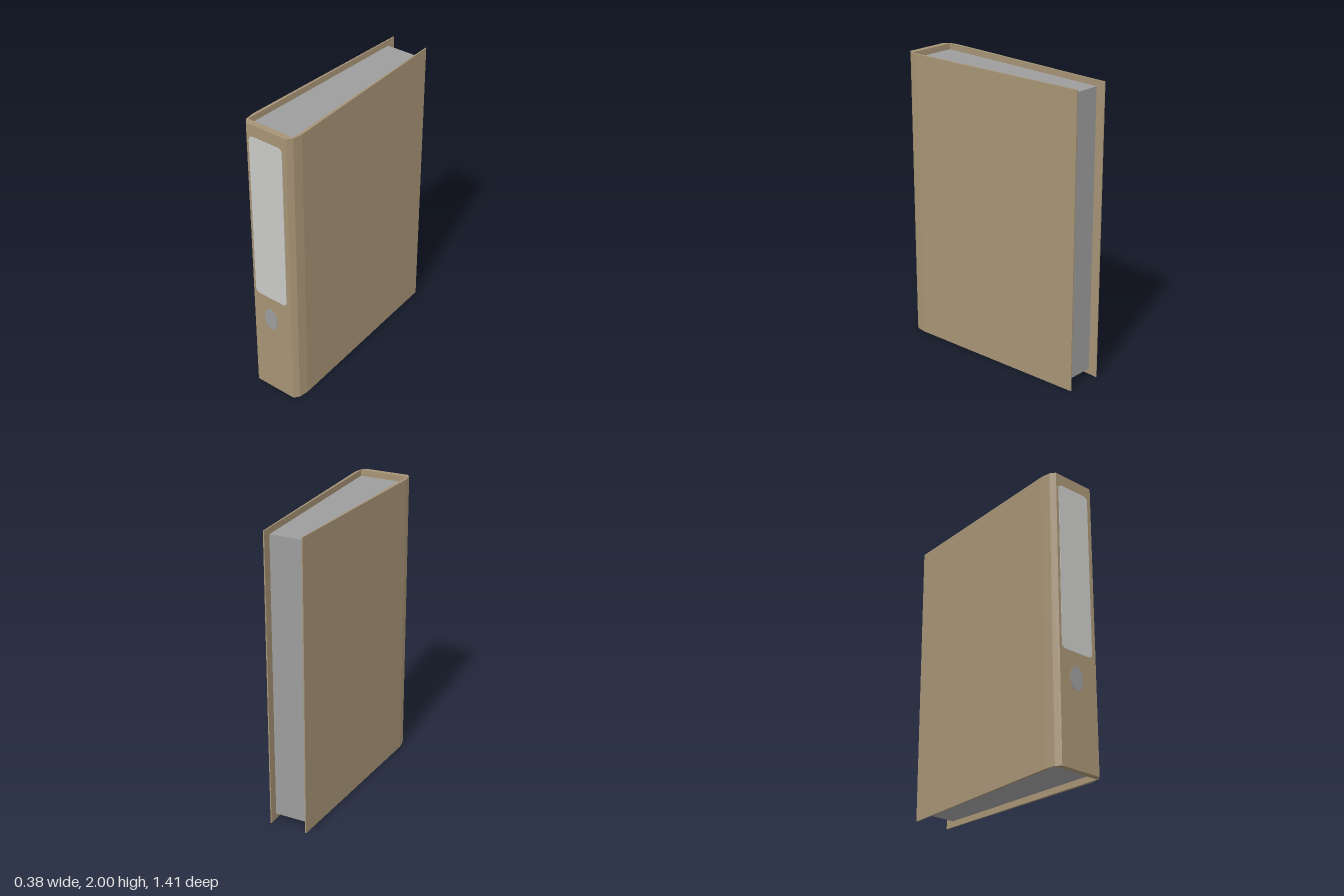
import * as THREE from 'three';

const HEIGHT = 2;

// Upright prism from a plan outline of [x, z] points
function prism(points, y0, y1, material, name) {
  const shape = new THREE.Shape(points.map(([x, z]) => new THREE.Vector2(x, -z)));
  const geometry = new THREE.ExtrudeGeometry(shape, { depth: y1 - y0, bevelEnabled: false });
  geometry.rotateX(-Math.PI / 2);
  geometry.translate(0, y0, 0);
  const mesh = new THREE.Mesh(geometry, material);
  mesh.name = name;
  return mesh;
}

// Thin plate lying on the front of the spine
function plate(shape, z, material, name) {
  const geometry = new THREE.ExtrudeGeometry(shape, { depth: 0.003, bevelEnabled: false, curveSegments: 12 });
  const mesh = new THREE.Mesh(geometry, material);
  mesh.position.z = z;
  mesh.name = name;
  return mesh;
}

function roundedRect(x0, y0, x1, y1, r) {
  const s = new THREE.Shape();
  s.moveTo(x0 + r, y0);
  s.lineTo(x1 - r, y0);
  s.quadraticCurveTo(x1, y0, x1, y0 + r);
  s.lineTo(x1, y1 - r);
  s.quadraticCurveTo(x1, y1, x1 - r, y1);
  s.lineTo(x0 + r, y1);
  s.quadraticCurveTo(x0, y1, x0, y1 - r);
  s.lineTo(x0, y0 + r);
  s.quadraticCurveTo(x0, y0, x0 + r, y0);
  return s;
}

export function createModel() {
  const board = new THREE.MeshStandardMaterial({ color: 0xa69375 });
  board.name = 'tan board';
  const paper = new THREE.MeshStandardMaterial({ color: 0x9c9c9c });
  paper.name = 'grey paper';
  const white = new THREE.MeshStandardMaterial({ color: 0xc9c9c7 });
  white.name = 'label white';

  const group = new THREE.Group();
  group.name = 'ringBinder';

  // Cover: two tapering boards joined by a spine with bevelled corners
  const front = 0.702;
  group.add(prism([
    [-0.132, -0.705], [-0.19, 0.6], [-0.181, 0.668], [-0.154, front],
    [0.151, front], [0.178, 0.668], [0.188, 0.6], [0.131, -0.705],
    [0.123, -0.705], [0.171, 0.661], [-0.173, 0.661], [-0.125, -0.705],
  ], 0, HEIGHT, board, 'cover'));

  // Paper block, set in from the top, bottom and back of the cover
  group.add(prism([
    [-0.126, -0.643], [-0.172, 0.66], [0.17, 0.66], [0.124, -0.643],
  ], 0.04, HEIGHT - 0.04, paper, 'paperBlock'));

  // Spine label and finger hole
  group.add(plate(roundedRect(-0.135, 0.76, 0.119, 1.92, 0.035), front, white, 'spineLabel'));
  const oval = new THREE.Shape();
  oval.absellipse(-0.018, 0.585, 0.053, 0.081, 0, Math.PI * 2);
  group.add(plate(oval, front, paper, 'fingerHole'));

  return group;
}
